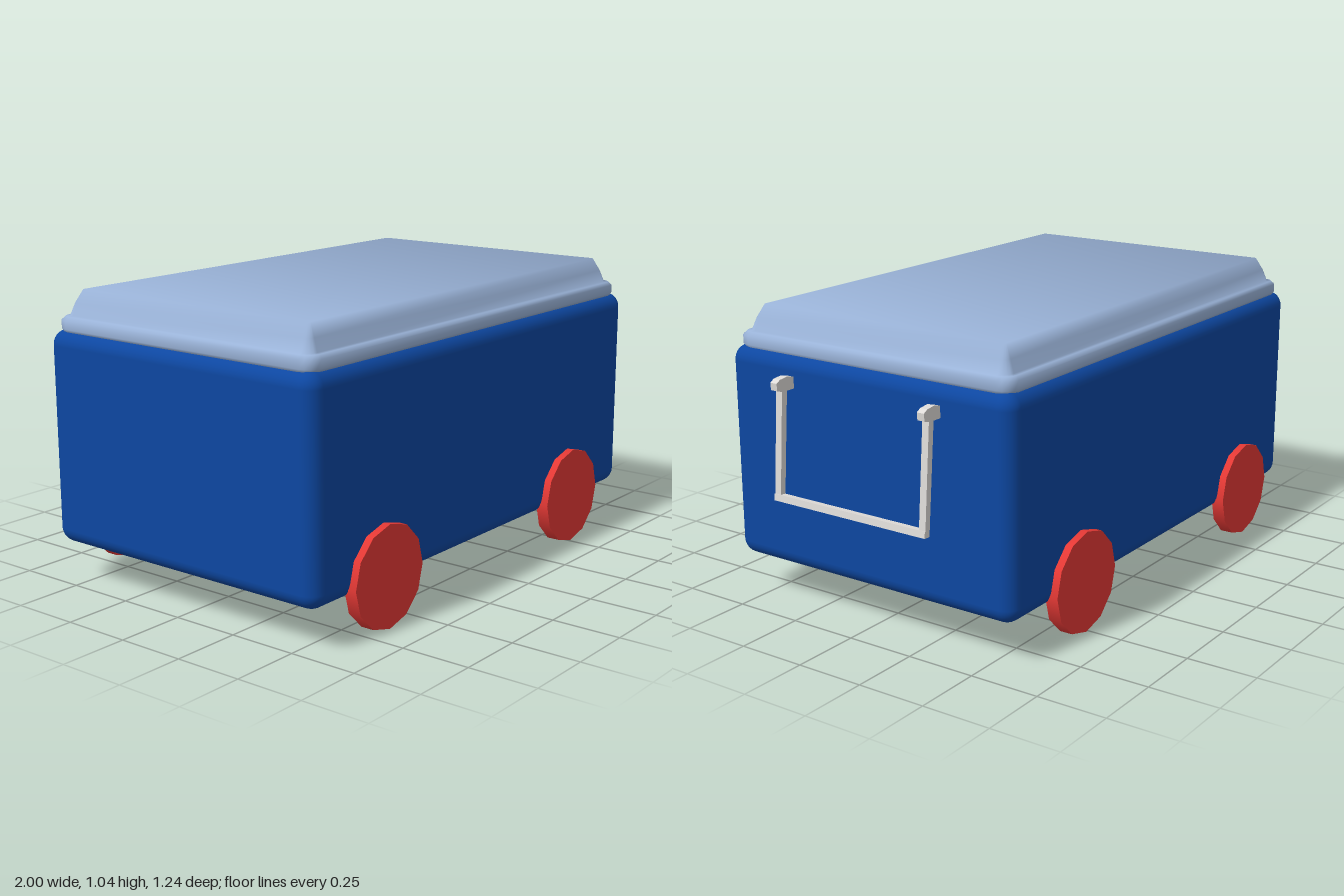
import * as THREE from 'three';
import { RoundedBoxGeometry } from 'three/addons/geometries/RoundedBoxGeometry.js';

const material = (name, color) => {
  const m = new THREE.MeshStandardMaterial({ color });
  m.name = name;
  return m;
};

const CENTER_X = -0.045;

// Counter-clockwise rounded rectangle (seen from above), starting at the +x -z corner.
function roundedRing(hx, hz, r, y, steps = 4) {
  const points = [];
  const corners = [[1, -1], [-1, -1], [-1, 1], [1, 1]];
  corners.forEach(([sx, sz], c) => {
    for (let i = 0; i <= steps; i++) {
      const a = (c + i / steps) * Math.PI / 2;
      points.push([
        sx * (hx - r) + r * Math.cos(a), y, sz * (hz - r) - r * Math.sin(a),
      ]);
    }
  });
  return points;
}

// Lid shell: stacked rings sharing vertices, closed at the top and bottom.
function lidGeometry() {
  const levels = [ // y, inset, corner radius
    [0.9, 0.006, 0.05], [0.912, 0, 0.05], [0.942, 0, 0.05], [0.955, 0.012, 0.045],
    [0.957, 0.026, 0.035], [1.0, 0.042, 0.025], [1.045, 0.066, 0.012],
  ];
  const rings = levels.map(([y, inset, r]) => roundedRing(0.932 - inset, 0.57 - inset, r, y));
  const n = rings[0].length;
  const top = (rings.length - 1) * n;
  const index = [];
  for (let i = 0; i < rings.length - 1; i++) {
    for (let j = 0; j < n; j++) {
      const k = (j + 1) % n;
      const a = i * n + j, b = i * n + k;
      index.push(a, b, b + n, a, b + n, a + n);
    }
  }
  for (let j = 1; j < n - 1; j++) {
    index.push(top, top + j, top + j + 1);
    index.push(0, j + 1, j);
  }
  const g = new THREE.BufferGeometry();
  g.setAttribute('position', new THREE.Float32BufferAttribute(rings.flat(2), 3));
  g.setIndex(index);
  g.computeVertexNormals();
  // Soft shading across the top: corner normals lean outward.
  const normal = g.attributes.normal;
  const v = new THREE.Vector3();
  for (let j = 0; j < n; j++) {
    const [x, , z] = rings[rings.length - 1][j];
    v.set(Math.sign(x) * 0.87, 2, Math.sign(z) * 0.87).normalize();
    normal.setXYZ(top + j, v.x, v.y, v.z);
  }
  return g;
}

// Side profile in x/y, extruded across z and centred there.
function profileGeometry(points, depth) {
  const shape = new THREE.Shape(points.map(([x, y]) => new THREE.Vector2(x, y)));
  const g = new THREE.ExtrudeGeometry(shape, { depth, bevelEnabled: false });
  return g.translate(0, 0, -depth / 2);
}

export function createModel() {
  const blue = material('body blue', 0x0d47a1);
  const paleBlue = material('lid pale blue', 0x9ab3d8);
  const red = material('wheel red', 0xe53935);
  const grey = material('handle grey', 0xdedbd8);

  const model = new THREE.Group();
  model.name = 'wheeledCooler';
  const add = (name, geometry, mat, x = 0, y = 0, z = 0, parent = model) => {
    const mesh = new THREE.Mesh(geometry, mat);
    mesh.name = name;
    mesh.position.set(x, y, z);
    parent.add(mesh);
    return mesh;
  };

  // Box and lid
  add('body', new RoundedBoxGeometry(1.91, 0.765, 1.185, 4, 0.055), blue, CENTER_X, 0.5275, 0);
  add('lid', lidGeometry(), paleBlue, CENTER_X, 0, 0);

  // Four twelve-sided disc wheels
  const wheel = new THREE.CylinderGeometry(0.18, 0.18, 0.048, 12).rotateX(Math.PI / 2);
  for (const [end, x] of [['rear', -0.645], ['handleEnd', 0.51]]) {
    for (const side of [1, -1]) {
      add(`${end}Wheel${side > 0 ? 'Front' : 'Back'}`, wheel, red, x, 0.18, side * 0.596);
    }
  }

  // Swing handle on the +x end
  const handle = new THREE.Group();
  handle.name = 'handle';
  model.add(handle);
  const bracket = profileGeometry([
    [0.9, 0.798], [0.965, 0.798], [0.99, 0.806], [0.992, 0.832],
    [0.975, 0.842], [0.94, 0.846], [0.9, 0.836],
  ], 0.028);
  const arm = profileGeometry([
    [0.974, 0.422], [0.996, 0.422], [0.966, 0.81], [0.942, 0.81],
  ], 0.026);
  for (const side of [1, -1]) {
    add('handleBracket', bracket, grey, 0, 0, side * 0.308, handle);
    add('handleArm', arm, grey, 0, 0, side * 0.308, handle);
  }
  const bar = profileGeometry([
    [0.976, 0.421], [1.0, 0.423], [0.997, 0.446], [0.973, 0.444],
  ], 0.642);
  add('handleBar', bar, grey, 0, 0, 0, handle);

  return model;
}
